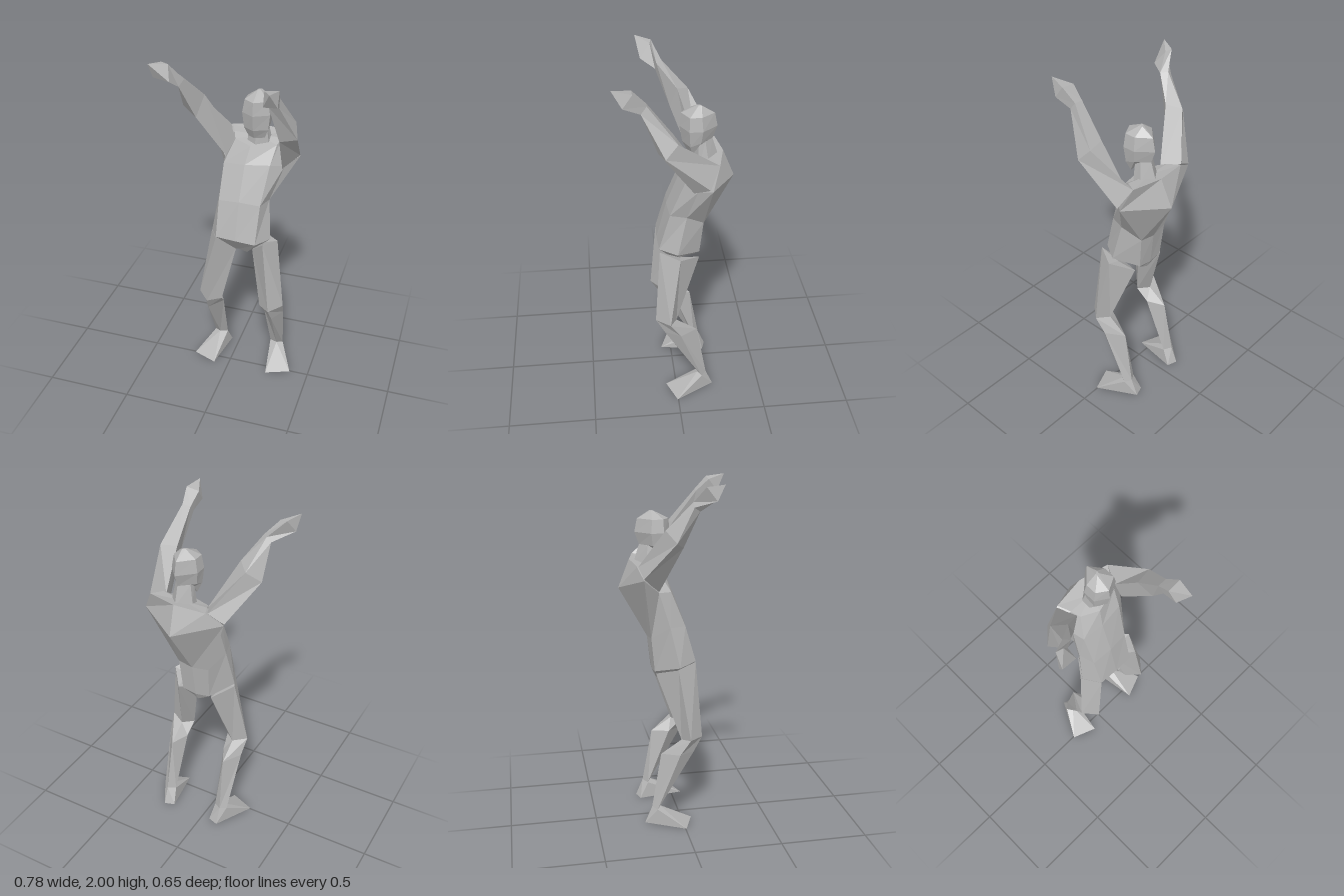
import * as THREE from 'three';

const skin = new THREE.MeshStandardMaterial({ color: 0xb4b4b4, flatShading: true });
skin.name = 'plain grey';

// Closed faceted skin over rings of equal point count, wound outward
function loft(name, rings) {
  const n = rings[0].length, pos = [];
  const tri = (a, b, c) => pos.push(...a, ...b, ...c);
  const mid = (r) => [0, 1, 2].map((k) => r.reduce((s, p) => s + p[k], 0) / n);
  for (let i = 0; i < rings.length - 1; i++) {
    for (let j = 0; j < n; j++) {
      const k = (j + 1) % n, a = rings[i], b = rings[i + 1];
      tri(a[j], a[k], b[k]);
      tri(a[j], b[k], b[j]);
    }
  }
  const first = rings[0], last = rings[rings.length - 1];
  const c0 = mid(first), c1 = mid(last);
  for (let j = 0; j < n; j++) {
    const k = (j + 1) % n;
    tri(first[k], first[j], c0);
    tri(last[j], last[k], c1);
  }
  // Flip every triangle if the enclosed volume is negative
  let volume = 0;
  const A = new THREE.Vector3(), B = new THREE.Vector3(), C = new THREE.Vector3();
  for (let i = 0; i < pos.length; i += 9) {
    A.fromArray(pos, i); B.fromArray(pos, i + 3); C.fromArray(pos, i + 6);
    volume += A.dot(B.cross(C));
  }
  if (volume < 0) {
    for (let i = 0; i < pos.length; i += 9) {
      for (let k = 0; k < 3; k++) [pos[i + 3 + k], pos[i + 6 + k]] = [pos[i + 6 + k], pos[i + 3 + k]];
    }
  }
  const geo = new THREE.BufferGeometry();
  geo.setAttribute('position', new THREE.Float32BufferAttribute(pos, 3));
  geo.computeVertexNormals();
  const mesh = new THREE.Mesh(geo, skin);
  mesh.name = name;
  return mesh;
}

// Six-sided ring with a point at the front and the back
const hexRing = (y, x0, x1, zBack, zFront, tilt = 0) => {
  const c = (x0 + x1) / 2, d = zFront - zBack;
  return [[c - 0.008, y, zFront], [x1, y, zFront - d * 0.22], [x1, y + tilt, zBack + d * 0.42],
    [c + 0.01, y + tilt, zBack], [x0, y + tilt, zBack + d * 0.42], [x0, y, zFront - d * 0.22]];
};

export function createModel() {
  const model = new THREE.Group();
  model.name = 'figure';

  // Torso: front centre, front left, side left, back left, back centre, back right, side right, front right
  model.add(loft('torso', [
    [[0.055, 0.86, 0.01], [0.1, 0.84, 0], [0.1, 0.85, -0.04], [0.1, 0.86, -0.11],
      [0.065, 0.85, -0.12], [0.03, 0.86, -0.11], [0.03, 0.85, -0.04], [0.03, 0.85, 0]],
    [[0.055, 0.965, 0.095], [0.17, 0.955, 0.09], [0.235, 0.95, -0.01], [0.15, 0.91, -0.14],
      [0.065, 0.9, -0.145], [-0.02, 0.91, -0.14], [-0.115, 0.95, -0.01], [-0.06, 0.97, 0.09]],
    [[0.06, 1.19, 0.04], [0.18, 1.18, 0.03], [0.21, 1.18, -0.06], [0.16, 1.11, -0.16],
      [0.07, 1.1, -0.17], [-0.03, 1.11, -0.16], [-0.085, 1.18, -0.06], [-0.06, 1.18, 0.03]],
    [[0.07, 1.39, -0.035], [0.21, 1.4, -0.05], [0.28, 1.38, -0.11], [0.35, 1.42, -0.18],
      [0.11, 1.38, -0.325], [-0.155, 1.47, -0.215], [-0.07, 1.38, -0.12], [-0.055, 1.38, -0.05]],
    [[0.09, 1.49, -0.075], [0.23, 1.5, -0.11], [0.25, 1.53, -0.15], [0.29, 1.54, -0.22],
      [0.12, 1.54, -0.26], [-0.06, 1.53, -0.24], [-0.03, 1.52, -0.17], [-0.01, 1.5, -0.12]],
  ]));

  // Neck and head
  model.add(loft('neck', [
    hexRing(1.47, 0.055, 0.185, -0.235, -0.09, 0.04),
    hexRing(1.62, 0.075, 0.165, -0.2, -0.1),
  ]));
  model.add(loft('head', [
    hexRing(1.545, 0.075, 0.165, -0.165, -0.07, 0.05),
    hexRing(1.6, 0.052, 0.188, -0.2, -0.042, 0.02),
    hexRing(1.69, 0.042, 0.198, -0.225, -0.027),
    hexRing(1.765, 0.055, 0.185, -0.21, -0.035),
    hexRing(1.808, 0.115, 0.13, -0.14, -0.12),
  ]));

  // Arms: shoulder, elbow, wrist, palm, fingertip
  const tip = (p) => [p, p, p, p];
  model.add(loft('rightArm', [
    [[-0.01, 1.49, -0.14], [-0.07, 1.53, -0.235], [-0.157, 1.48, -0.215], [-0.06, 1.38, -0.12]],
    [[-0.16, 1.775, -0.045], [-0.22, 1.75, -0.11], [-0.29, 1.69, -0.06], [-0.2, 1.65, -0.01]],
    [[-0.235, 1.895, 0.06], [-0.265, 1.9, 0.03], [-0.29, 1.875, 0.03], [-0.265, 1.85, 0.065]],
    [[-0.31, 1.98, 0.09], [-0.35, 1.985, 0.08], [-0.38, 1.915, 0.13], [-0.285, 1.905, 0.145]],
    tip([-0.39, 2, 0.167]),
  ]));
  model.add(loft('leftArm', [
    [[0.25, 1.5, -0.125], [0.29, 1.54, -0.22], [0.352, 1.43, -0.165], [0.27, 1.37, -0.09]],
    [[0.262, 1.72, 0.02], [0.36, 1.71, 0.005], [0.385, 1.64, 0.07], [0.295, 1.63, 0.1]],
    [[0.255, 1.895, 0.155], [0.305, 1.9, 0.155], [0.31, 1.86, 0.185], [0.257, 1.86, 0.19]],
    [[0.243, 1.96, 0.225], [0.32, 1.97, 0.225], [0.325, 1.9, 0.275], [0.25, 1.895, 0.275]],
    tip([0.295, 1.985, 0.327]),
  ]));

  // Legs: the right one is described, the left is its mirror across the hips
  const leg = [
    [[-0.06, 0.965, 0.09], [-0.12, 0.94, -0.02], [-0.03, 0.9, -0.135], [0.03, 0.85, -0.02]],
    [[-0.11, 0.525, 0.12], [-0.18, 0.53, 0.04], [-0.1, 0.51, 0], [-0.04, 0.51, 0.05]],
    [[-0.12, 0.44, 0.07], [-0.17, 0.44, -0.02], [-0.1, 0.43, -0.12], [-0.05, 0.44, -0.02]],
    [[-0.11, 0.1, -0.13], [-0.145, 0.095, -0.15], [-0.11, 0.1, -0.178], [-0.065, 0.095, -0.15]],
  ];
  const foot = [
    [[-0.11, 0.1, -0.128], [-0.145, 0.095, -0.15], [-0.11, 0.1, -0.178], [-0.065, 0.095, -0.15]],
    [[-0.09, 0, 0.06], [-0.232, 0, 0.005], [-0.11, 0, -0.22], [-0.05, 0, -0.2]],
  ];
  for (const side of ['right', 'left']) {
    const place = (rings) => rings.map((r) => r.map(([x, y, z]) => [side === 'left' ? 0.155 - x : x, y, z]));
    model.add(loft(side + 'Leg', place(leg)));
    model.add(loft(side + 'Foot', place(foot)));
  }
  return model;
}
